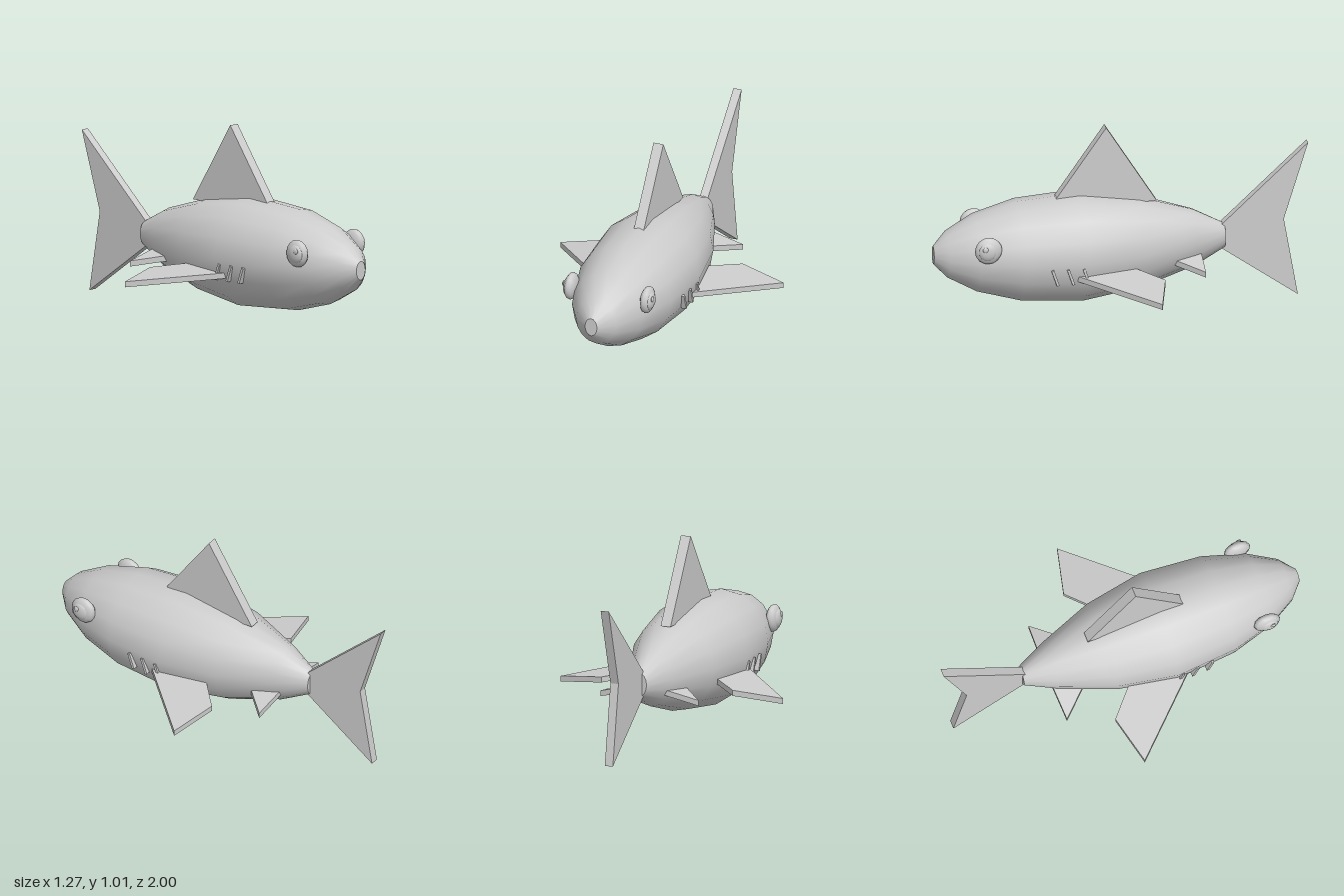
import * as THREE from 'three';
import { mergeVertices } from 'three/addons/utils/BufferGeometryUtils.js';

const grey = new THREE.MeshStandardMaterial({ color: 0xcccccc });
grey.name = 'grey';

function add(parent, name, geometry, x = 0, y = 0, z = 0) {
  const mesh = new THREE.Mesh(geometry, grey);
  mesh.name = name;
  mesh.position.set(x, y, z);
  parent.add(mesh);
  return mesh;
}

const toShape = (points) => new THREE.Shape(points.map(([a, b]) => new THREE.Vector2(a, b)));

// Upright fin: outline in (z, y), thickness along x
function uprightFin(points, thickness) {
  const g = new THREE.ExtrudeGeometry(toShape(points), { depth: thickness, bevelEnabled: false });
  g.translate(0, 0, -thickness / 2);
  g.rotateY(-Math.PI / 2);
  return g;
}

// Side fin: outline in (x, z), drooping outwards from a given top height
function sideFin(points, side, top, rootX, slope, thickness) {
  const outline = points.map(([x, z]) => [x * side, z]);
  const g = new THREE.ExtrudeGeometry(toShape(outline), { depth: thickness, bevelEnabled: false });
  g.rotateX(Math.PI / 2);
  const p = g.attributes.position;
  for (let i = 0; i < p.count; i++) {
    p.setY(i, p.getY(i) + top - slope * (Math.abs(p.getX(i)) - rootX));
  }
  g.computeVertexNormals();
  return g;
}

export function createModel() {
  const model = new THREE.Group();
  model.name = 'fish';

  // Body rings from tail to nose: z, half height, half width
  const rings = [
    [-0.555, 0.067, 0.048], [-0.39, 0.155, 0.125], [-0.1, 0.245, 0.237], [0.22, 0.293, 0.295],
    [0.55, 0.27, 0.268], [0.78, 0.207, 0.2], [0.93, 0.125, 0.114], [1.0, 0.05, 0.034],
  ];
  const midY = 0.355;
  let body = new THREE.LatheGeometry(rings.map(([z, h]) => new THREE.Vector2(h, z)), 16);
  body.rotateX(Math.PI / 2);
  const p = body.attributes.position;
  for (let i = 0; i < p.count; i++) {
    const [, h, w] = rings[i % rings.length];
    p.setX(i, p.getX(i) * w / h);
  }
  body.deleteAttribute('normal');
  body.deleteAttribute('uv');
  body = mergeVertices(body);
  body.computeVertexNormals();
  add(model, 'body', body, 0, midY, 0);

  // Flat ends of the body
  for (const [name, ring, turn] of [['noseCap', rings[7], 0], ['tailCap', rings[0], Math.PI]]) {
    const cap = add(model, name, new THREE.CircleGeometry(1, 16), 0, midY, ring[0]);
    cap.scale.set(ring[2], ring[1], 1);
    cap.rotation.y = turn;
  }

  // Dorsal and tail fins
  add(model, 'dorsalFin', uprightFin([[0.35, 0.63], [0.08, 1.015], [-0.19, 0.585], [0.08, 0.58]], 0.056));
  add(model, 'tailFin', uprightFin(
    [[-0.535, 0.42], [-1, 0.85], [-0.87, 0.43], [-0.945, 0], [-0.535, 0.29]], 0.046));

  for (const side of [1, -1]) {
    const label = side > 0 ? 'left' : 'right';

    // Paired fins
    add(model, label + 'PectoralFin', sideFin(
      [[0.27, 0.28], [0.635, -0.105], [0.375, -0.17], [0.22, -0.03]], side, 0.285, 0.28, 0.13, 0.03));
    add(model, label + 'PelvicFin', sideFin(
      [[0.15, -0.265], [0.28, -0.405], [0.09, -0.415]], side, 0.288, 0.16, 0.22, 0.03));

    // Eye: stacked flattened balls
    const eye = new THREE.Group();
    eye.name = label + 'Eye';
    eye.position.set(side * 0.216, 0.443, 0.745);
    model.add(eye);
    const tiers = [
      ['eyeball', 0, 0, 0, 0.034, 0.073], ['iris', 0.018, 0, 0.006, 0.022, 0.05],
      ['pupil', 0.036, 0.018, 0.022, 0.007, 0.015],
    ];
    for (const [name, x, y, z, flat, radius] of tiers) {
      const ball = add(eye, name, new THREE.SphereGeometry(1, 12, 8), side * x, y, z);
      ball.scale.set(flat, radius, radius);
    }

    // Gill slits
    for (let i = 0; i < 3; i++) {
      const slit = add(model, label + 'Gill' + (i + 1), new THREE.BoxGeometry(0.03, 0.09, 0.014),
        side * (0.273 + i * 0.003), 0.288, 0.4 - i * 0.083);
      slit.rotation.x = 0.33;
    }
  }
  return model;
}
